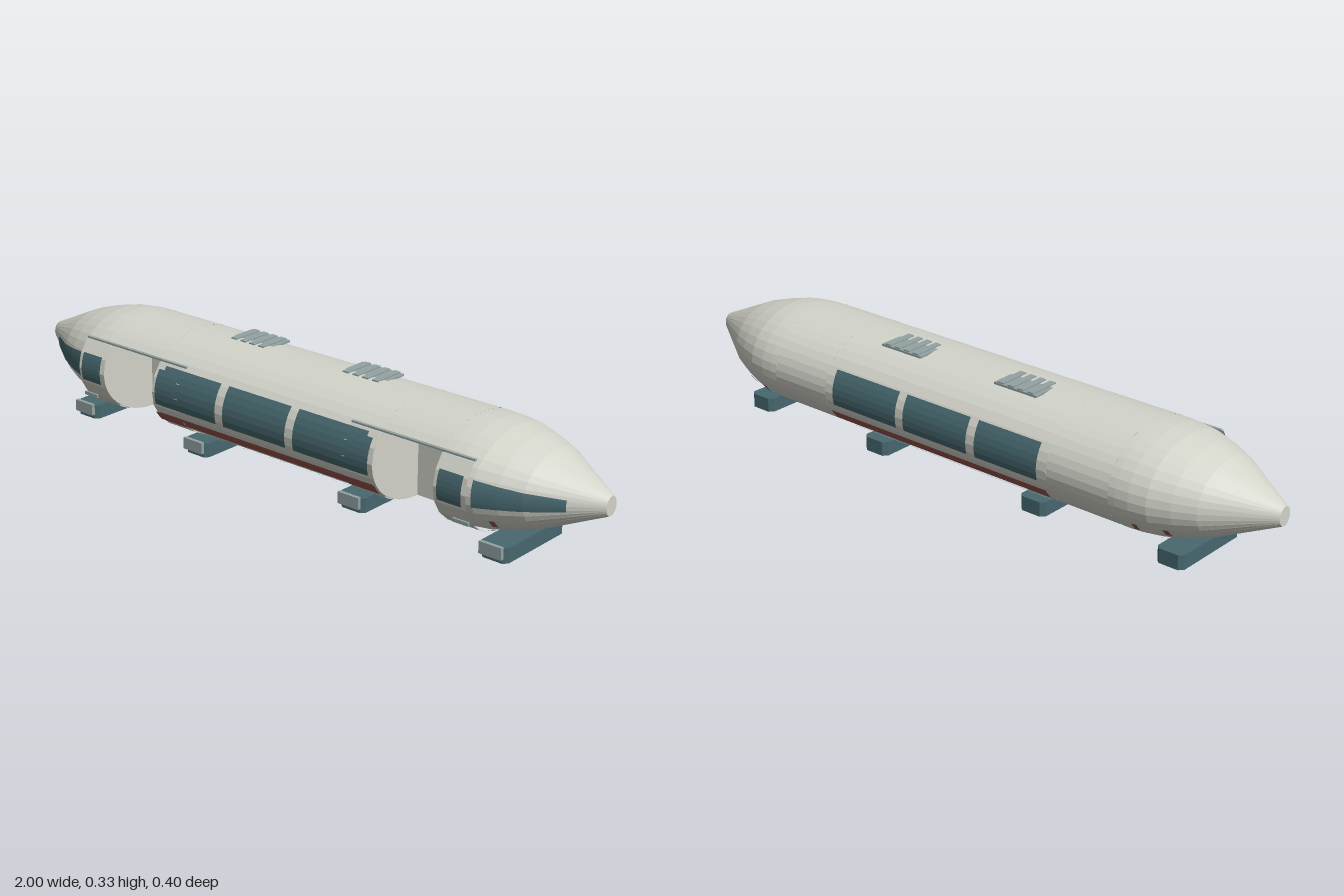
import * as THREE from 'three';

const CY = 0.18, RZ = 0.195, RY = 0.145, DOOR_TOP = 0.27;
// Half-length hull profile: x, half depth, half height
const PROFILE = [[0, RZ, RY], [0.62, RZ, RY], [0.66, 0.193, 0.1435], [0.71, 0.185, 0.138],
  [0.77, 0.163, 0.124], [0.83, 0.135, 0.105], [1, 0.023, 0.027]];

function radii(x) {
  const a = Math.min(Math.abs(x), 1);
  const i = Math.max(1, PROFILE.findIndex(p => p[0] >= a));
  const p = PROFILE[i - 1], q = PROFILE[i], t = (a - p[0]) / (q[0] - p[0]);
  return [p[1] + (q[1] - p[1]) * t, p[2] + (q[2] - p[2]) * t];
}

// Faceted skin over the hull between two x values; range(x) gives start and end angle
function skin(x0, x1, range, segs, off = 0, straight = false) {
  const xs = [x0, x1];
  if (!straight) for (const p of PROFILE) for (const s of [p[0], -p[0]]) if (s > x0 && s < x1 && s !== 0) xs.push(s);
  xs.sort((a, b) => a - b);
  const pos = [], idx = [], n = segs + 1;
  xs.forEach((x, i) => {
    const [rz, ry] = straight ? [RZ, RY] : radii(x);
    const [a0, a1] = range(x);
    for (let j = 0; j <= segs; j++) {
      const a = a0 + (a1 - a0) * j / segs;
      pos.push(x, CY + (ry + off) * Math.sin(a), (rz + off) * Math.cos(a));
      if (i && j) {
        const d = i * n + j, c = d - 1, b = d - n, e = b - 1;
        idx.push(e, c, d, e, d, b);
      }
    }
  });
  let g = new THREE.BufferGeometry();
  g.setAttribute('position', new THREE.Float32BufferAttribute(pos, 3));
  g.setIndex(idx);
  g = g.toNonIndexed();
  g.computeVertexNormals();
  return g;
}

export function createModel() {
  const group = new THREE.Group();
  const mat = (name, color) => {
    const m = new THREE.MeshStandardMaterial({ color, side: THREE.DoubleSide });
    m.name = name;
    return m;
  };
  const shell = mat('shell grey', 0xd3d4ca), teal = mat('dark teal', 0x47686f);
  const red = mat('stripe red', 0x98524c), trim = mat('trim grey', 0x93a3a3);

  const add = (name, geo, m, x = 0, y = 0, z = 0) => {
    const mesh = new THREE.Mesh(geo, m);
    mesh.name = name;
    mesh.position.set(x, y, z);
    group.add(mesh);
    return mesh;
  };
  const box = (name, w, h, d, m, x, y, z) => add(name, new THREE.BoxGeometry(w, h, d), m, x, y, z);

  // Patch on the hull side between two heights; side 1 is front, -1 is back
  const panel = (name, x0, x1, low, high, side, m, off = 0.004, straight = false) => {
    const f = v => typeof v === 'function' ? v : () => v;
    const angle = (x, y) => {
      const ry = (straight ? RY : radii(x)[1]) + off;
      return Math.asin(THREE.MathUtils.clamp((y - CY) / ry, -1, 1));
    };
    const range = x => {
      const a = angle(x, f(low)(x)), b = angle(x, f(high)(x));
      return side > 0 ? [a, b] : [Math.PI - b, Math.PI - a];
    };
    return add(name, skin(x0, x1, range, 6, off, straight), m);
  };

  // Hull: closed rings, with the two doorways left open at the front
  const full = () => [-Math.PI / 2, Math.PI * 1.5];
  const topAngle = Math.asin((DOOR_TOP - CY) / RY);
  const open = () => [topAngle, Math.PI * 1.5];
  add('rightHull', skin(-1, -0.6, full, 36), shell);
  add('middleHull', skin(-0.4, 0.4, full, 36), shell);
  add('leftHull', skin(0.6, 1, full, 36), shell);

  // Section of the hull bared by a doorway
  const wallShape = new THREE.Shape();
  wallShape.moveTo(0, DOOR_TOP);
  for (let i = 0; i <= 16; i++) {
    const a = topAngle + (-Math.PI / 2 - topAngle) * i / 16;
    wallShape.lineTo(RZ * Math.cos(a), CY + RY * Math.sin(a));
  }
  const wallGeo = new THREE.ShapeGeometry(wallShape).rotateY(-Math.PI / 2);
  const topZ = RZ * Math.cos(topAngle);

  for (const s of [-1, 1]) {
    // Doorway recess
    add('doorwayRoof', skin(s * 0.5 - 0.1, s * 0.5 + 0.1, open, 27), shell);
    add('doorwaySide', wallGeo, shell, s * 0.6);
    add('doorwaySide', wallGeo, shell, s * 0.4);
    box('doorwayBack', 0.2, DOOR_TOP - 0.035, 0.004, shell, s * 0.5, (DOOR_TOP + 0.035) / 2, 0);
    box('doorwayCeiling', 0.2, 0.003, topZ, shell, s * 0.5, DOOR_TOP, topZ / 2);

    // Sliding door leaves, pushed apart
    for (const c of [0.35, 0.65]) {
      const x = s * c;
      panel('doorLeaf', x - 0.05, x + 0.05, 0.045, 0.265, 1, shell, 0.004, true);
      panel('doorWindow', x - 0.038, x + 0.038, 0.15, c < 0.5 ? 0.25 : 0.232, 1, teal, 0.006, true);
      if (c < 0.5) panel('doorStripe', x - 0.05, x + 0.05, 0.09, 0.12, 1, red, 0.006, true);
    }
    box('doorTrack', 0.4, 0.005, 0.008, trim, s * 0.5, 0.268, 0.156);
    box('doorHandle', 0.05, 0.01, 0.006, trim, s * 0.675, 0.1, 0.195 * 0.86 + 0.01);

    // Nose cap and front nose window
    const cap = add('noseCap', new THREE.CircleGeometry(1, 36).rotateY(s * Math.PI / 2), shell, s, CY, 0);
    cap.scale.set(1, 0.027, 0.023);
    const t = x => (Math.abs(x) - 0.71) / 0.21;
    panel('noseWindow', Math.min(s * 0.71, s * 0.92), Math.max(s * 0.71, s * 0.92),
      x => 0.152 + 0.013 * t(x), x => 0.225 - 0.028 * t(x), 1, teal, 0.004);

    // Small marker lights along the lower flanks
    for (const side of [1, -1]) for (const c of [0.67, 0.75]) {
      if (side > 0 && c < 0.7) continue;
      panel('markerLight', s * c - 0.007, s * c + 0.007, 0.092, 0.115, side, red);
    }
    for (const side of [1, -1])
      panel('lowerMarker', s * 0.72 - 0.015, s * 0.72 + 0.015, 0.058, 0.064, side, trim);

    // Slatted roof vent
    box('ventBase', 0.145, 0.006, 0.1, trim, s * 0.205, 0.321, -0.037);
    for (let i = 0; i < 4; i++)
      box('ventSlat', 0.02, 0.005, 0.096, trim, s * 0.205 + (i - 1.5) * 0.034, 0.3255, -0.037);
  }

  // Side windows and stripes
  for (const side of [1, -1]) {
    for (const [a, b] of [[-0.37, -0.157], [-0.128, 0.1], [0.128, 0.367]])
      panel('sideWindow', a, b, 0.148, side > 0 ? 0.26 : 0.25, side, teal);
    panel('sideStripe', -0.39, 0.39, 0.09, 0.12, side, red, 0.003);
    panel('lowerStripe', -0.36, 0.36, 0.058, 0.064, side, trim, 0.003);
  }

  // Feet: chamfered bars across the hull, each with a plate at the front
  const w = 0.042, c = 0.012, foot = new THREE.Shape([
    [-w, -0.125 + c], [-w + c, -0.125], [w - c, -0.125], [w, -0.125 + c],
    [w, 0.135 - c], [w - c, 0.135], [-w + c, 0.135], [-w, 0.135 - c],
  ].map(p => new THREE.Vector2(p[0], -p[1])));
  const footGeo = new THREE.ExtrudeGeometry(foot, { depth: 0.042, bevelEnabled: false }).rotateX(-Math.PI / 2);
  for (const x of [-0.745, -0.295, 0.28, 0.745]) {
    add('foot', footGeo, teal, x);
    box('footPlate', 0.07, 0.034, 0.011, trim, x, 0.031, 0.142);
  }
  return group;
}
